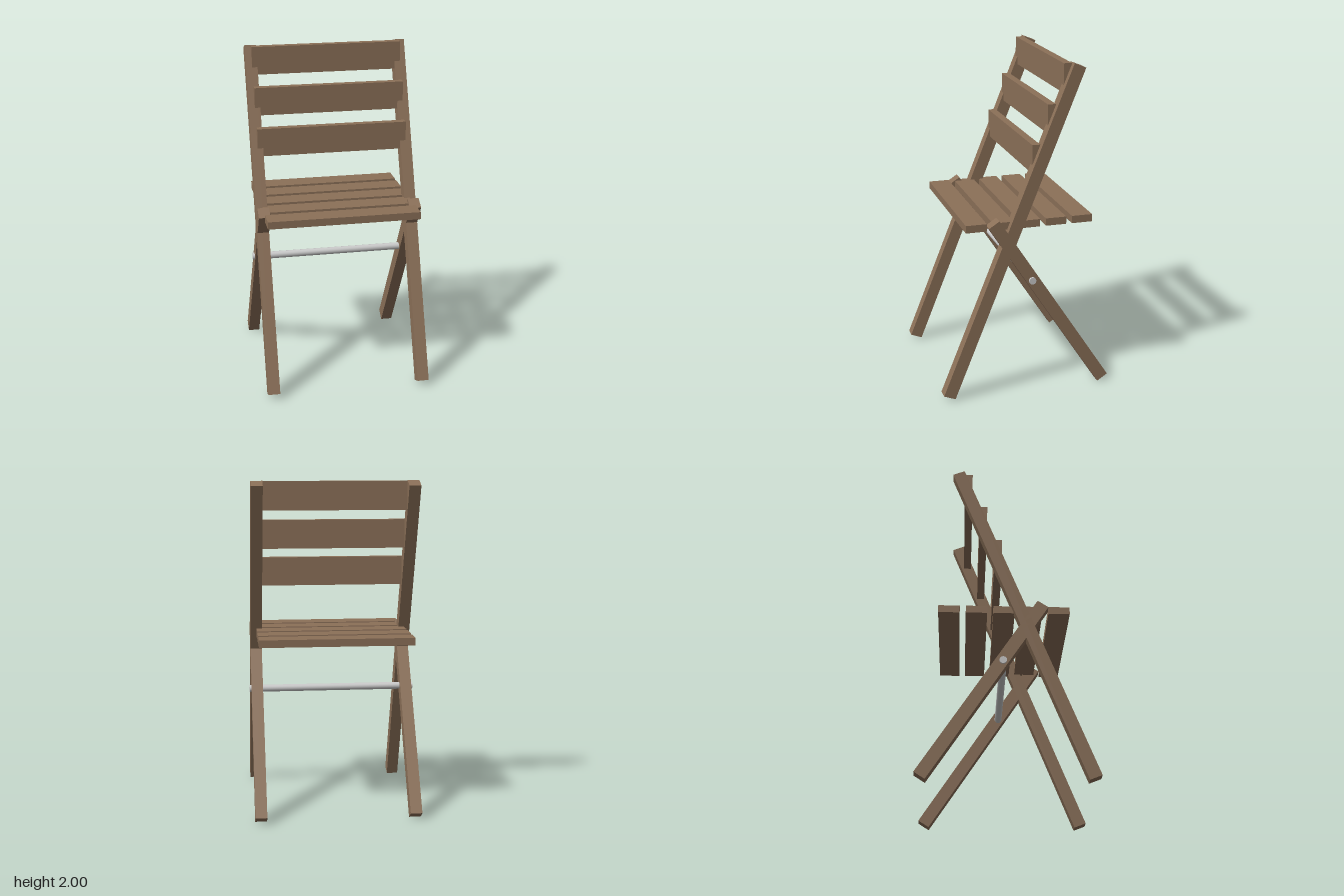
import * as THREE from 'three';

export function createModel() {
  const chair = new THREE.Group();
  chair.name = 'foldingChair';
  const wood = new THREE.MeshStandardMaterial({ color: 0x8b7058, flatShading: true });
  const metal = new THREE.MeshStandardMaterial({ color: 0xcccccc });

  const add = (name, geometry, material, x, y, z) => {
    const mesh = new THREE.Mesh(geometry, material);
    mesh.name = name;
    mesh.position.set(x, y, z);
    chair.add(mesh);
    return mesh;
  };

  // Square bar running in the side plane between two [z, y] end centres
  const bar = (name, x, [z0, y0], [z1, y1]) => {
    const length = Math.hypot(z1 - z0, y1 - y0);
    const geometry = new THREE.BoxGeometry(0.07, length, 0.075);
    const mesh = add(name, geometry, wood, x, (y0 + y1) / 2, (z0 + z1) / 2);
    mesh.rotation.x = Math.atan2(z1 - z0, y1 - y0);
  };

  // Crossing legs: the long pair rises into the backrest
  for (const [side, s] of [['left', 1], ['right', -1]]) {
    bar(side + 'FrontLegAndBackPost', s * 0.461, [0.485, 0.025], [-0.3, 1.986]);
    bar(side + 'RearLeg', s * 0.461, [-0.485, 0.025], [0.207, 1.087]);
  }

  // Seat slats
  for (let i = 0; i < 5; i++) {
    add('seatSlat' + (i + 1), new THREE.BoxGeometry(0.92, 0.045, 0.126), wood, 0, 1.063, 0.303 - i * 0.1615);
  }

  // Upright backrest slats, stepped along the posts
  for (let i = 0; i < 3; i++) {
    add('backSlat' + (i + 1), new THREE.BoxGeometry(0.92, 0.17, 0.047), wood, 0, 1.45 + i * 0.231, -0.055 - i * 0.0915);
  }

  // Metal cross rod through the rear legs
  const rod = add('crossRod', new THREE.CylinderGeometry(0.022, 0.022, 1.014, 12), metal, 0, 0.72, -0.026);
  rod.rotation.z = Math.PI / 2;

  return chair;
}
